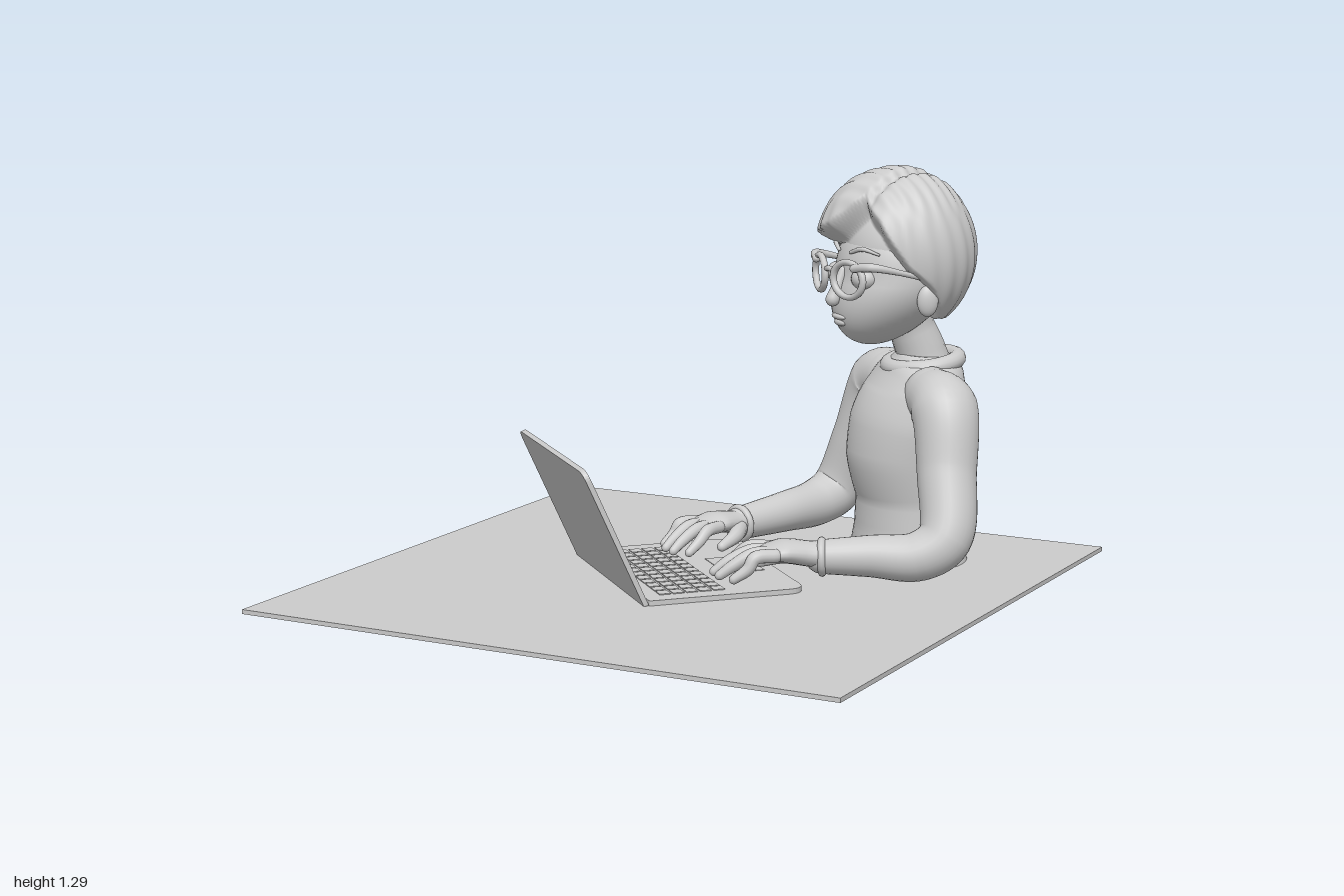
import * as THREE from 'three';

const mat = new THREE.MeshStandardMaterial({ color: 0xcccccc });
const V = (x, y, z) => new THREE.Vector3(x, y, z);

function add(parent, geometry, name, x = 0, y = 0, z = 0) {
  const mesh = new THREE.Mesh(geometry, mat);
  mesh.name = name;
  mesh.position.set(x, y, z);
  parent.add(mesh);
  return mesh;
}

function group(parent, name, x, y, z, yaw) {
  const g = new THREE.Group();
  g.name = name;
  g.position.set(x, y, z);
  g.rotation.y = yaw;
  parent.add(g);
  return g;
}

// Smooth tapered limb; each key is [x, y, z, radiusAcross, radiusThrough]
function limb(keys, { across = V(1, 0, 0), cap = 1, steps = 6, sides = 20 } = {}) {
  const curve = new THREE.CatmullRomCurve3(keys.map(k => V(k[0], k[1], k[2])));
  const last = keys.length - 1, n = last * steps;
  const pos = [], idx = [];
  const N = across.clone(), B = V();
  let rings = 0;
  const ring = (p, ra, rb) => {
    for (let j = 0; j < sides; j++) {
      const a = j / sides * Math.PI * 2;
      const q = p.clone().addScaledVector(N, Math.cos(a) * ra).addScaledVector(B, Math.sin(a) * rb);
      pos.push(q.x, q.y, q.z);
    }
    rings++;
  };
  for (let i = 0; i <= n; i++) {
    const u = i / n, f = Math.min(Math.floor(u * last), last - 1), w = u * last - f;
    const T = curve.getTangent(u), p = curve.getPoint(u);
    N.addScaledVector(T, -N.dot(T)).normalize();
    B.crossVectors(T, N);
    const r = c => THREE.MathUtils.lerp(keys[f][c] ?? keys[f][3], keys[f + 1][c] ?? keys[f + 1][3], w);
    const ra = r(3), rb = r(4), end = Math.min(ra, rb) * cap;
    const dome = s => ring(p.clone().addScaledVector(T, Math.sin(s) * end),
      ra * Math.max(Math.cos(s), 0.001), rb * Math.max(Math.cos(s), 0.001));
    if (i === 0) [-1.57, -1.2, -0.8, -0.4].forEach(dome);
    ring(p, ra, rb);
    if (i === n) [0.4, 0.8, 1.2, 1.57].forEach(dome);
  }
  for (let i = 0; i < rings - 1; i++) for (let j = 0; j < sides; j++) {
    const a = i * sides + j, b = i * sides + (j + 1) % sides;
    idx.push(a, b, a + sides, b, b + sides, a + sides);
  }
  const g = new THREE.BufferGeometry();
  g.setAttribute('position', new THREE.Float32BufferAttribute(pos, 3));
  g.setIndex(idx);
  g.computeVertexNormals();
  return g;
}

// Sphere whose vertices are moved by a rule
function moulded(rule, ws = 48, hs = 32) {
  const g = new THREE.SphereGeometry(1, ws, hs), p = g.attributes.position, v = V();
  for (let i = 0; i < p.count; i++) {
    rule(v.fromBufferAttribute(p, i));
    p.setXYZ(i, v.x, v.y, v.z);
  }
  g.computeVertexNormals();
  return g;
}
const blob = (rx, ry, rz) => new THREE.SphereGeometry(1, 24, 16).scale(rx, ry, rz);

// Thin panel with rounded corners, standing on y = 0
function panel(w, h, t, r) {
  const s = new THREE.Shape(), x = w / 2;
  s.moveTo(-x + 0.01, 0).lineTo(x - 0.01, 0).quadraticCurveTo(x, 0, x, 0.01);
  s.lineTo(x, h - r).quadraticCurveTo(x, h, x - r, h);
  s.lineTo(-x + r, h).quadraticCurveTo(-x, h, -x, h - r);
  s.lineTo(-x, 0.01).quadraticCurveTo(-x, 0, -x + 0.01, 0);
  return new THREE.ExtrudeGeometry(s, { depth: t, bevelEnabled: false, curveSegments: 8 });
}

function buildLaptop(root) {
  const g = group(root, 'laptop', -0.195, 0.02, 0.14, -0.75);
  add(g, panel(0.71, 0.51, 0.016, 0.06).rotateX(-Math.PI / 2), 'laptopBase');
  add(g, panel(0.71, 0.475, 0.016, 0.04), 'laptopScreen').rotation.x = 0.425;
  const key = new THREE.BoxGeometry(0.042, 0.004, 0.036);
  for (let r = 0; r < 5; r++) for (let c = 0; c < 12; c++)
    add(g, key, 'key', (c - 5.5) * 0.05, 0.017, -0.07 - r * 0.044);
  add(g, new THREE.BoxGeometry(0.2, 0.003, 0.13), 'touchpad', 0, 0.0165, -0.4);
}

// Hand points along +z from the wrist; side = +1 puts the thumb at +x
function buildHand(root, name, p, yaw, side, size) {
  const g = group(root, name, ...p, yaw);
  g.scale.setScalar(size);
  add(g, limb([[0, 0, -0.06, 0.045, 0.04], [0, 0.01, 0.03, 0.052, 0.036],
    [0, 0.02, 0.1, 0.072, 0.033], [0, 0.012, 0.16, 0.068, 0.022]]), 'palm');
  for (let i = 0; i < 4; i++) {
    const x = (i - 1.5) * 0.037, l = [0.25, 0.285, 0.295, 0.27][side > 0 ? i : 3 - i];
    add(g, limb([[x, 0.018, 0.13, 0.02], [x * 1.25, 0.016, 0.19, 0.02],
      [x * 1.35, -0.014, l - 0.04, 0.018], [x * 1.35, -0.042, l, 0.014]], { sides: 12 }), 'finger');
  }
  add(g, limb([[side * 0.035, -0.005, 0.03, 0.03], [side * 0.085, -0.015, 0.09, 0.024],
    [side * 0.1, -0.035, 0.155, 0.016]], { sides: 12 }), 'thumb');
}

// Lower edge of the hair by angle around the head (degrees, height)
const hairline = [[-180, -0.22], [-110, -0.2], [-88, -0.07], [-65, 0.03], [-30, 0.06], [0, 0.1],
  [25, 0.2], [45, 0.13], [70, -0.02], [88, -0.08], [110, -0.2], [180, -0.22]];
function hairEdge(deg) {
  const i = Math.max(1, hairline.findIndex(h => deg <= h[0]));
  const [a, b] = [hairline[i - 1], hairline[i]];
  return THREE.MathUtils.mapLinear(deg, a[0], b[0], a[1], b[1]);
}

function buildHead(root) {
  const g = group(root, 'head', 0.45, 1.0, -0.56, -0.65);
  const { smoothstep, lerp } = THREE.MathUtils;
  // Face narrowing to the chin
  add(g, moulded(v => {
    const t = Math.max(0, -v.y);
    v.set(v.x * 0.195 * (1 - 0.3 * t * t), v.y * 0.225 - 0.05, v.z * 0.2 + 0.09 * t);
  }), 'face');
  // Short hair: side parting, strands, and an opening for the face
  add(g, moulded(v => {
    const a = Math.atan2(v.x, v.z), y = v.y * 0.27 + 0.02;
    const edge = hairEdge(a * 180 / Math.PI);
    const strands = lerp(Math.sin(a * 22 + v.y * 3) * (1 - v.y * v.y),
      Math.sin(v.z * 34 + v.x * 7), smoothstep(v.y, 0.35, 0.75));
    const part = (v.x - 0.24 - 0.26 * v.z) / 0.07;
    const groove = v.y > 0 ? 0.07 * Math.exp(-part * part) * smoothstep(v.y, 0, 0.5) : 0;
    const sweep = 0.05 * smoothstep(v.z, 0.1, 0.8) * smoothstep(-v.x, -0.25, 0.1);
    const s = lerp(0.72, 1 + 0.012 * strands - groove + sweep, smoothstep(y, edge - 0.02, edge + 0.02));
    v.set(v.x * 0.25 * s, v.y * 0.27 * s + 0.02, v.z * 0.25 * s);
  }, 144, 90), 'hair');
  add(g, limb([[0, -0.03, 0.195, 0.014], [0, -0.08, 0.215, 0.018], [0, -0.122, 0.232, 0.023]]), 'nose');
  add(g, blob(0.042, 0.011, 0.016), 'upperLip', 0, -0.178, 0.208);
  add(g, blob(0.034, 0.013, 0.016), 'lowerLip', 0, -0.197, 0.202);
  // Glasses, eyes, brows and ears on both sides
  const bridge = new THREE.QuadraticBezierCurve3(V(-0.03, -0.03, 0.24), V(0, -0.015, 0.25), V(0.03, -0.03, 0.24));
  add(g, new THREE.TubeGeometry(bridge, 10, 0.009, 8), 'glassesBridge');
  for (const s of [-1, 1]) {
    add(g, blob(0.046, 0.036, 0.04), 'eye', s * 0.085, -0.05, 0.165);
    add(g, limb([[s * 0.04, 0.03, 0.19, 0.006], [s * 0.09, 0.045, 0.175, 0.008],
      [s * 0.135, 0.03, 0.14, 0.004]], { across: V(0, 1, 0), sides: 10 }), 'eyebrow');
    const rim = add(g, new THREE.TorusGeometry(0.06, 0.011, 10, 36), 'glassesRim', s * 0.095, -0.048, 0.228);
    rim.scale.set(1.15, 0.92, 1);
    rim.rotation.y = s * 0.25;
    add(g, limb([[s * 0.13, -0.008, 0.225, 0.014], [s * 0.19, 0.0, 0.195, 0.014],
      [s * 0.208, -0.02, 0.1, 0.009], [s * 0.205, -0.05, -0.01, 0.008]],
    { across: V(0, 1, 0), sides: 10 }), 'glassesTemple');
    add(g, blob(0.022, 0.05, 0.034), 'ear', s * 0.2, -0.115, 0.0).rotation.y = s * -0.3;
  }
}

function buildBody(root) {
  const g = group(root, 'body', 0.48, 0, -0.62, -Math.PI / 4);
  add(g, limb([[0, 0, 0.01, 0.25, 0.19], [0, 0.04, 0.01, 0.235, 0.18], [0, 0.12, 0.01, 0.212, 0.168],
    [0, 0.22, 0.01, 0.208, 0.165], [0, 0.35, 0.02, 0.225, 0.188], [0, 0.45, 0.012, 0.24, 0.182],
    [0, 0.54, -0.015, 0.25, 0.158], [0, 0.6, -0.03, 0.225, 0.135], [0, 0.645, -0.04, 0.165, 0.12],
    [0, 0.68, -0.042, 0.1, 0.095]], { cap: 0, sides: 48 }), 'sweater');
  add(g, limb([[0, 0.6, -0.045, 0.1], [0, 0.68, -0.03, 0.082], [0, 0.77, 0.005, 0.074],
    [0, 0.88, 0.04, 0.085]]), 'neck');
  const collar = add(g, new THREE.TorusGeometry(0.11, 0.028, 14, 48), 'collar', 0, 0.655, -0.035);
  collar.rotation.x = Math.PI / 2 + 0.14;
  collar.scale.set(1.08, 1, 1);
}

// Sleeve from shoulder to wrist with a cuff at the end
function buildArm(root, name, keys) {
  const g = group(root, name, 0, 0, 0, 0);
  add(g, limb(keys, { steps: 10, sides: 28 }), 'sleeve');
  const [a, b] = keys.slice(-2).map(k => V(k[0], k[1], k[2]));
  const cuff = add(g, new THREE.TorusGeometry(0.05, 0.013, 10, 28), 'cuff', b.x, b.y, b.z);
  cuff.lookAt(b.clone().multiplyScalar(2).sub(a));
}

export function createModel() {
  const root = new THREE.Group();
  root.name = 'personAtLaptop';
  add(root, new THREE.BoxGeometry(2, 0.014, 2), 'tableTop', 0, 0.013, 0);
  buildLaptop(root);
  buildBody(root);
  buildHead(root);
  buildArm(root, 'leftArm', [[0.6, 0.575, -0.5, 0.09], [0.675, 0.545, -0.43, 0.107],
    [0.715, 0.36, -0.365, 0.094], [0.745, 0.17, -0.285, 0.086], [0.68, 0.115, -0.235, 0.078],
    [0.54, 0.11, -0.185, 0.066], [0.4, 0.105, -0.125, 0.054]]);
  buildArm(root, 'rightArm', [[0.36, 0.575, -0.74, 0.09], [0.285, 0.545, -0.81, 0.107],
    [0.205, 0.36, -0.825, 0.092], [0.125, 0.17, -0.815, 0.086], [0.09, 0.13, -0.73, 0.078],
    [0.05, 0.125, -0.56, 0.066], [-0.02, 0.115, -0.38, 0.054]]);
  buildHand(root, 'leftHand', [0.39, 0.105, -0.12], -0.98, -1, 1.1);
  buildHand(root, 'rightHand', [-0.02, 0.115, -0.37], -0.39, 1, 1);
  return root;
}
